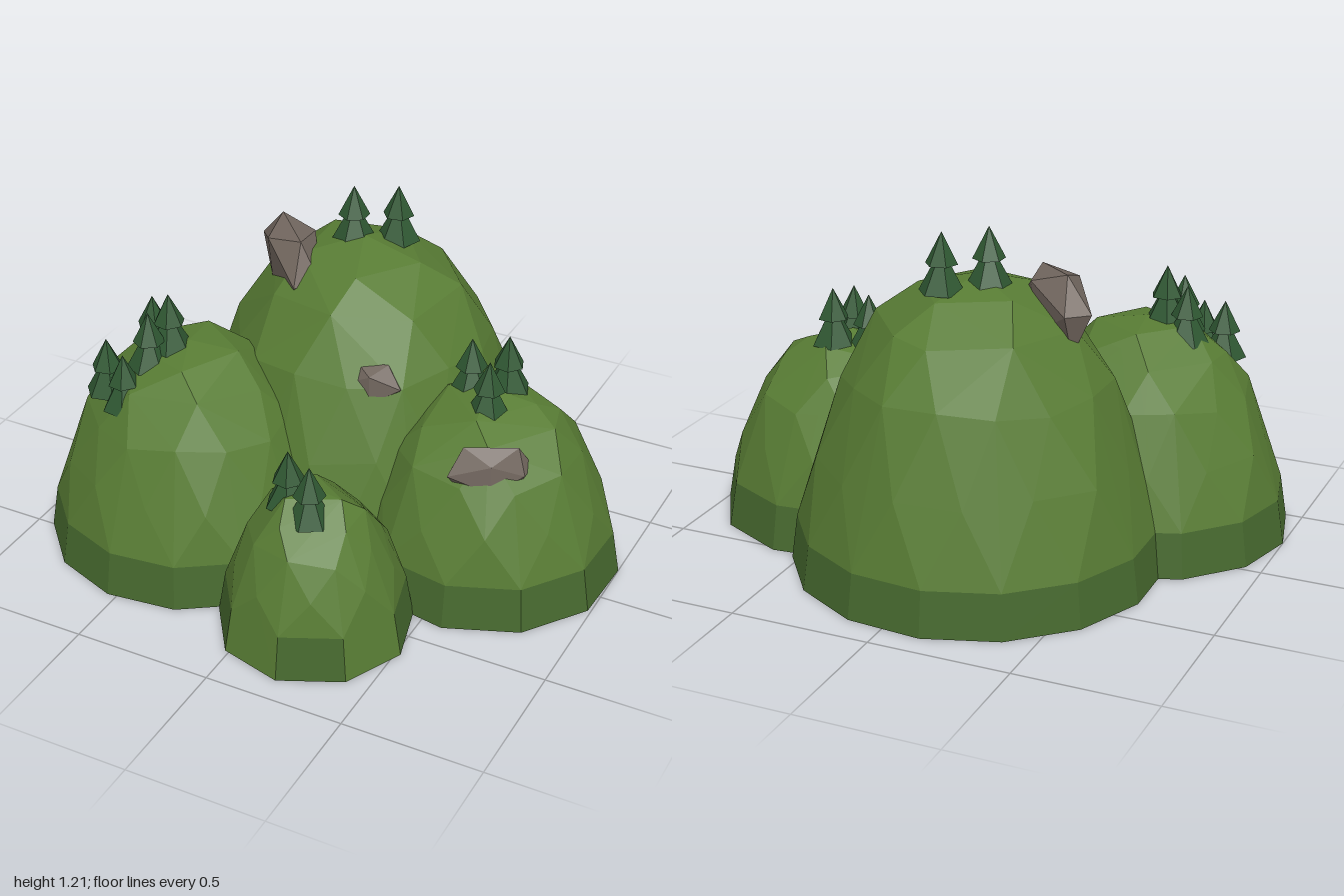
import * as THREE from 'three';
import { ConvexGeometry } from 'three/addons/geometries/ConvexGeometry.js';

const BAND = 0.16; // height of the steep foot of every hill
const paint = (color, side = THREE.FrontSide) =>
  new THREE.MeshStandardMaterial({ color, flatShading: true, side });

// Each hill: ground centre, radii, height, number of sides and angle of the first corner
const HILLS = [
  { name: 'tallHill', x: -0.06, z: -0.27, rx: 0.65, rz: 0.645, top: 1.04, sides: 15, turn: -73 },
  { name: 'leftHill', x: -0.47, z: 0.26, rx: 0.53, rz: 0.51, top: 0.78, sides: 13, turn: 180 },
  { name: 'rightHill', x: 0.53, z: -0.06, rx: 0.484, rz: 0.47, top: 0.69, sides: 11, turn: -14 },
  { name: 'frontHill', x: 0.18, z: 0.57, rx: 0.34, rz: 0.34, top: 0.55, sides: 9, turn: 5 },
];

// Faceted hill body: rounded profile, staggered and slightly uneven upper rings
function hillHull({ x, z, rx, rz, top, sides, turn }, seed) {
  const pts = [new THREE.Vector3(x, top, z)];
  const heights = [0, BAND, ...[0.3, 0.6, 0.82, 0.95].map((u) => BAND + (top - BAND) * u)];
  heights.forEach((y, ring) => {
    const scale = (1 - (y / top) ** 1.3) ** 0.37;
    const step = ring > 4 ? 3 : ring > 3 ? 2 : 1;
    const upper = ring > 1 ? 1 : 0;
    for (let i = 0; i < sides; i += step) {
      const a = THREE.MathUtils.degToRad(turn) + ((i + upper * (ring % 2 ? 0 : 0.5)) / sides) * Math.PI * 2;
      const s = scale * (1 - upper * 0.02 * (1 + Math.sin(i * 2.4 + ring * 1.7 + seed)));
      const lift = upper * 0.015 * Math.sin(i * 1.9 + ring * 2.3 + seed * 3);
      pts.push(new THREE.Vector3(x + rx * s * Math.cos(a), y + lift, z + rz * s * Math.sin(a)));
    }
  });
  const pos = new ConvexGeometry(pts).getAttribute('position');
  const faces = [], planes = [];
  for (let i = 0; i < pos.count; i += 3) {
    const f = [0, 1, 2].map((k) => new THREE.Vector3().fromBufferAttribute(pos, i + k));
    if (new THREE.Triangle(...f).getArea() < 1e-7) continue;
    planes.push(new THREE.Plane().setFromCoplanarPoints(...f));
    if (Math.max(...f.map((p) => p.y)) > 1e-4) faces.push(f); // the underside stays open
  }
  return { faces, planes };
}

// Part of a polygon on one side of a plane (sign 1: outside, -1: inside)
function clip(poly, plane, sign) {
  const out = [];
  poly.forEach((p, i) => {
    const q = poly[(i + 1) % poly.length];
    const dp = sign * plane.distanceToPoint(p), dq = sign * plane.distanceToPoint(q);
    if (dp >= 0) out.push(p);
    if (dp * dq < 0) out.push(p.clone().lerp(q, dp / (dp - dq)));
  });
  return out.length > 2 ? out : [];
}

// Polygon minus a convex body, as a list of polygons
function subtract(poly, planes) {
  const pieces = [];
  let rest = poly;
  for (const plane of planes) {
    const outside = clip(rest, plane, 1);
    if (outside.length) pieces.push(outside);
    rest = clip(rest, plane, -1);
    if (!rest.length) return [poly]; // no overlap: keep it whole
  }
  return pieces;
}

function polygonMesh(name, polys, material) {
  const v = [];
  for (const p of polys)
    for (let i = 1; i < p.length - 1; i++) for (const q of [p[0], p[i], p[i + 1]]) v.push(q.x, q.y, q.z);
  const g = new THREE.BufferGeometry();
  g.setAttribute('position', new THREE.Float32BufferAttribute(v, 3));
  g.computeVertexNormals();
  const mesh = new THREE.Mesh(g, material);
  mesh.name = name;
  return mesh;
}

// Rocks: centre, half size, turn about y and lean
const ROCKS = [
  { name: 'summitRock', at: [-0.31, 0.93, -0.19], size: [0.19, 0.14, 0.08], turn: -0.78, lean: -0.1 },
  { name: 'slopeRock', at: [0.145, 0.68, 0.07], size: [0.1, 0.08, 0.06], turn: 0.25, lean: 0 },
  { name: 'sideRock', at: [0.635, 0.515, 0.165], size: [0.135, 0.085, 0.055], turn: 0.45, lean: 0 },
];

// A chipped lump: icosahedron whose corners move in and out by a rule
function rockGeometry(size, seed) {
  const g = new THREE.IcosahedronGeometry(1.15, 0);
  const pos = g.getAttribute('position'), p = new THREE.Vector3();
  for (let i = 0; i < pos.count; i++) {
    p.fromBufferAttribute(pos, i);
    const k = 1 + 0.14 * Math.sin(p.x * 5 + p.y * 7 + p.z * 3 + seed * 2);
    pos.setXYZ(i, p.x * k * size[0], p.y * k * size[1], p.z * k * size[2]);
  }
  g.computeVertexNormals();
  return g;
}

// Tree tips
const TREES = [
  [-0.11, 1.21, -0.29], [0.02, 1.2, -0.38],
  [0.56, 0.86, -0.14], [0.44, 0.84, -0.1], [0.55, 0.83, 0],
  [0.1, 0.69, 0.6], [0.2, 0.68, 0.64],
  [-0.62, 0.91, 0.25], [-0.53, 0.96, 0.29], [-0.57, 0.91, 0.36], [-0.7, 0.81, 0.43], [-0.61, 0.79, 0.47],
];

export function createModel() {
  const model = new THREE.Group();
  const grass = paint(0x587c34, THREE.DoubleSide), foot = paint(0x46682e, THREE.DoubleSide);
  const stone = paint(0x71665e), needles = paint(0x2f5732);

  // Hills merged into one open shell: hidden inner walls are cut away
  const hulls = HILLS.map(hillHull);
  HILLS.forEach(({ name }, h) => {
    const upper = [], lower = [];
    for (const face of hulls[h].faces) {
      let polys = [face];
      hulls.forEach((other, o) => {
        if (o !== h) polys = polys.flatMap((p) => subtract(p, other.planes));
      });
      const isFoot = Math.max(...face.map((p) => p.y)) < BAND + 1e-3;
      (isFoot ? lower : upper).push(...polys);
    }
    const hill = new THREE.Group();
    hill.name = name;
    hill.add(polygonMesh('grassSlope', upper, grass), polygonMesh('hillFoot', lower, foot));
    model.add(hill);
  });

  // Rocks
  ROCKS.forEach(({ name, at, size, turn, lean }, i) => {
    const rock = new THREE.Mesh(rockGeometry(size, i), stone);
    rock.name = name;
    rock.position.set(...at);
    rock.rotation.set(0, turn, lean);
    model.add(rock);
  });

  // Fir trees: two stacked six-sided cones
  const tiers = [[0.056, 0.11, -0.055], [0.08, 0.15, -0.13]].map(([r, height, y]) =>
    new THREE.ConeGeometry(r, height, 6).translate(0, y, 0));
  TREES.forEach(([x, y, z], i) => {
    const tree = new THREE.Group();
    tree.name = 'firTree';
    tiers.forEach((g, k) => {
      const cone = new THREE.Mesh(g, needles);
      cone.name = k ? 'lowerBranches' : 'upperBranches';
      tree.add(cone);
    });
    tree.position.set(x, y, z);
    tree.rotation.y = i * 0.7;
    model.add(tree);
  });
  return model;
}
